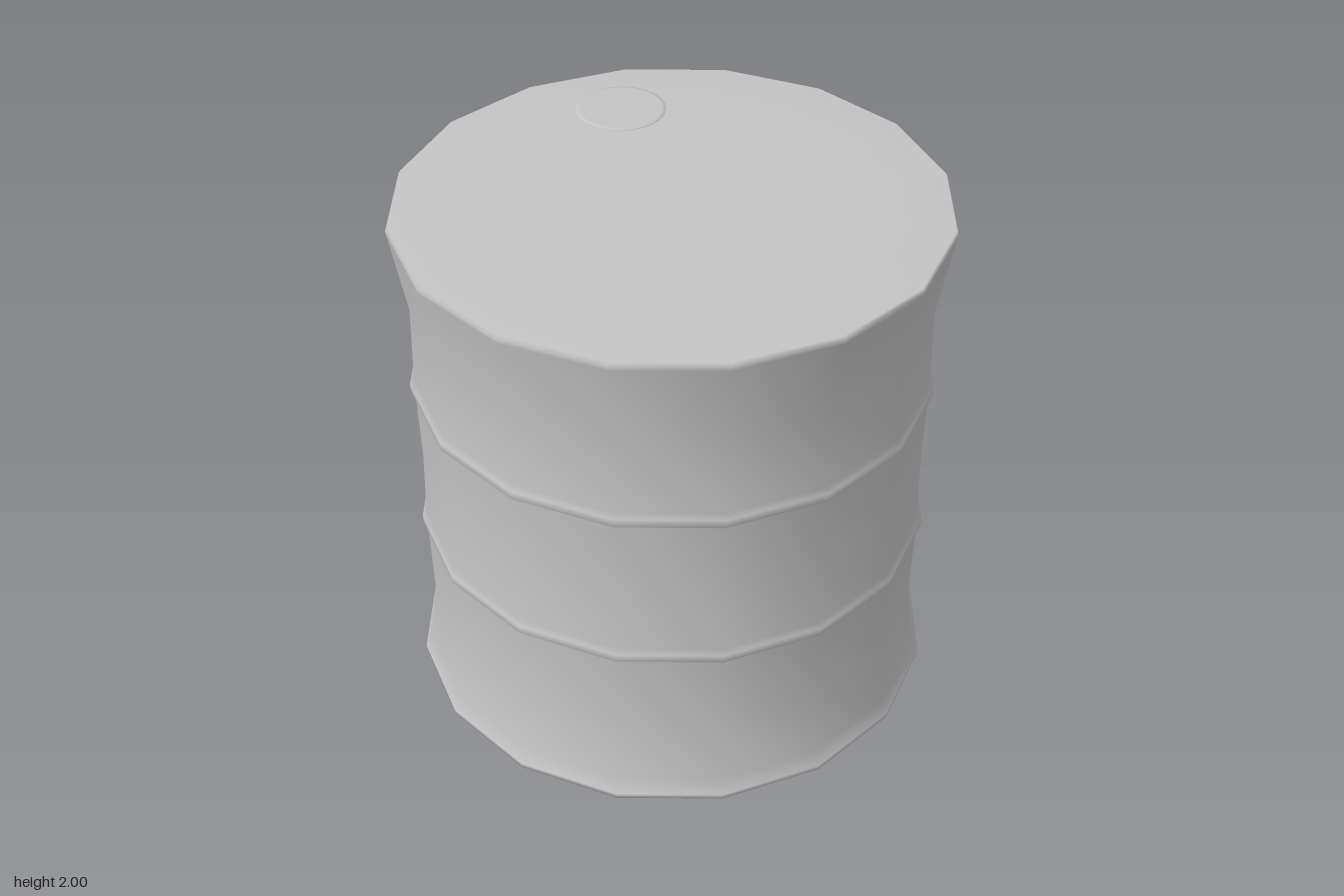
import * as THREE from 'three';

export function createModel() {
  const group = new THREE.Group();
  const steel = new THREE.MeshStandardMaterial({ color: 0xc4c4c4 });
  steel.name = 'greySteel';

  // Revolves a list of [radius, height] points, listed from the bottom up
  const lathe = (name, profile, sides, start = 0) => {
    const points = profile.map(([r, y]) => new THREE.Vector2(r, y));
    const mesh = new THREE.Mesh(new THREE.LatheGeometry(points, sides, start), steel);
    mesh.name = name;
    group.add(mesh);
    return mesh;
  };

  // Rolled hoop around the wall, starting at height y
  const hoop = (y) => [[0.952, y - 0.012], [0.968, y + 0.003], [0.968, y + 0.035], [0.952, y + 0.05]];

  // Sixteen-sided drum: floor, bottom rim, waisted wall with two hoops, top rim and lid
  const SIDES = 16, TURN = THREE.MathUtils.degToRad(-5.6);
  lathe('drumBody', [
    [0.98, 0.004], [1.003, 0.015], [1.003, 0.035], [0.975, 0.08],
    [0.945, 0.35], ...hoop(0.675),
    [0.945, 1.0], ...hoop(1.295),
    [0.945, 1.65], [1.0, 1.965], [1.003, 1.98], [0.995, 1.994],
    [0.78, 1.994], [0, 1.994],
  ], SIDES, TURN);
  lathe('drumFloor', [[0, 0], [0.97, 0], [0.98, 0.004]], SIDES, TURN);

  // Filler cap near the back edge of the lid
  const cap = lathe('fillerCap', [[0.17, 0], [0.17, 0.004], [0.16, 0.007], [0.155, 0.007], [0, 0.007]], 24);
  cap.position.set(0, 1.993, -0.69);

  return group;
}
